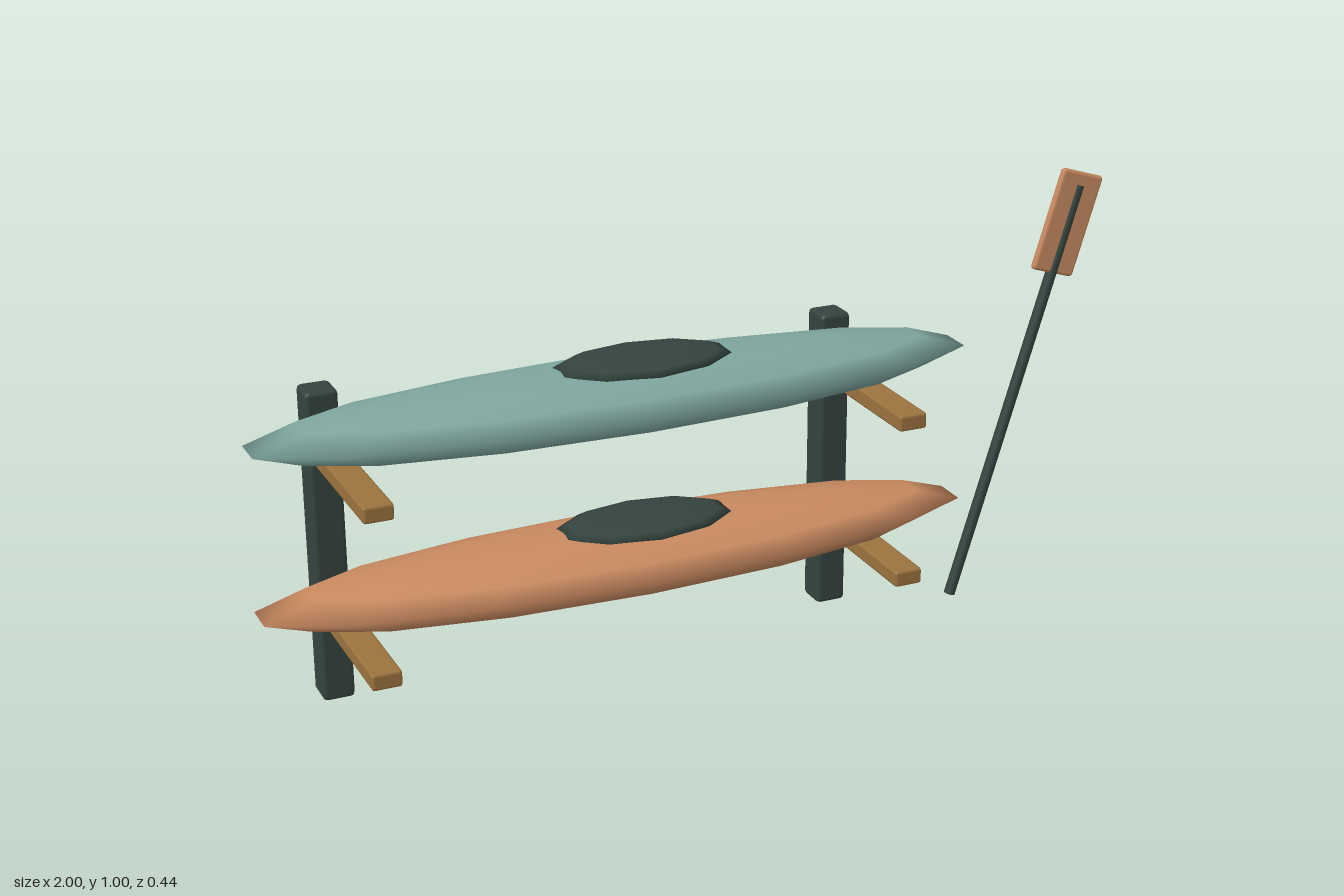
import * as THREE from 'three';
import { RoundedBoxGeometry } from 'three/addons/geometries/RoundedBoxGeometry.js';

function material(name, color) {
  const m = new THREE.MeshStandardMaterial({ color });
  m.name = name;
  return m;
}

export function createModel() {
  const teal = material('teal hull', 0x7fa69f);
  const orange = material('orange hull', 0xc98a60);
  const wood = material('wood', 0x9c733e);
  const dark = material('dark green', 0x34443f);

  const model = new THREE.Group();
  model.name = 'kayakRack';

  function add(parent, name, geometry, mat, x, y, z) {
    const mesh = new THREE.Mesh(geometry, mat);
    mesh.name = name;
    mesh.position.set(x, y, z);
    parent.add(mesh);
    return mesh;
  }

  // Low-segment ellipsoid, long along x, with blunt ends
  function ellipsoid(rx, ry, rz, sides) {
    return new THREE.SphereGeometry(1, sides, 6).scale(rz, ry, rx).rotateY(Math.PI / 2);
  }

  // Rack: two posts, each with two arms that run through to the back
  const shelves = [0.215, 0.575];
  for (const x of [-0.797, 0.378]) {
    add(model, 'post', new RoundedBoxGeometry(0.07, 0.7, 0.074, 1, 0.01), dark, x, 0.355, -0.178);
    for (const y of shelves) {
      add(model, 'arm', new RoundedBoxGeometry(0.064, 0.036, 0.435, 1, 0.006), wood, x, y, 0.0005);
    }
  }

  // Kayaks: a hull and a shallow cockpit cover each
  [orange, teal].forEach((hullMaterial, i) => {
    const kayak = new THREE.Group();
    kayak.name = 'kayak';
    kayak.position.set(-0.208, shelves[i] + 0.094, 0.029);
    add(kayak, 'hull', ellipsoid(0.812, 0.07, 0.17, 14), hullMaterial, 0, 0, 0);
    add(kayak, 'cockpit', ellipsoid(0.199, 0.02, 0.105, 10), dark, 0.047, 0.064, -0.003);
    model.add(kayak);
  });

  // Leaning paddle: shaft runs through the blade
  const paddle = new THREE.Group();
  paddle.name = 'paddle';
  paddle.position.set(0.795, 0.48, -0.066);
  paddle.rotation.z = -0.3;
  add(paddle, 'shaft', new THREE.CylinderGeometry(0.013, 0.013, 0.993, 8), dark, 0, 0, 0);
  add(paddle, 'blade', new RoundedBoxGeometry(0.11, 0.237, 0.018, 1, 0.008), orange, 0, 0.408, 0);
  model.add(paddle);

  return model;
}
